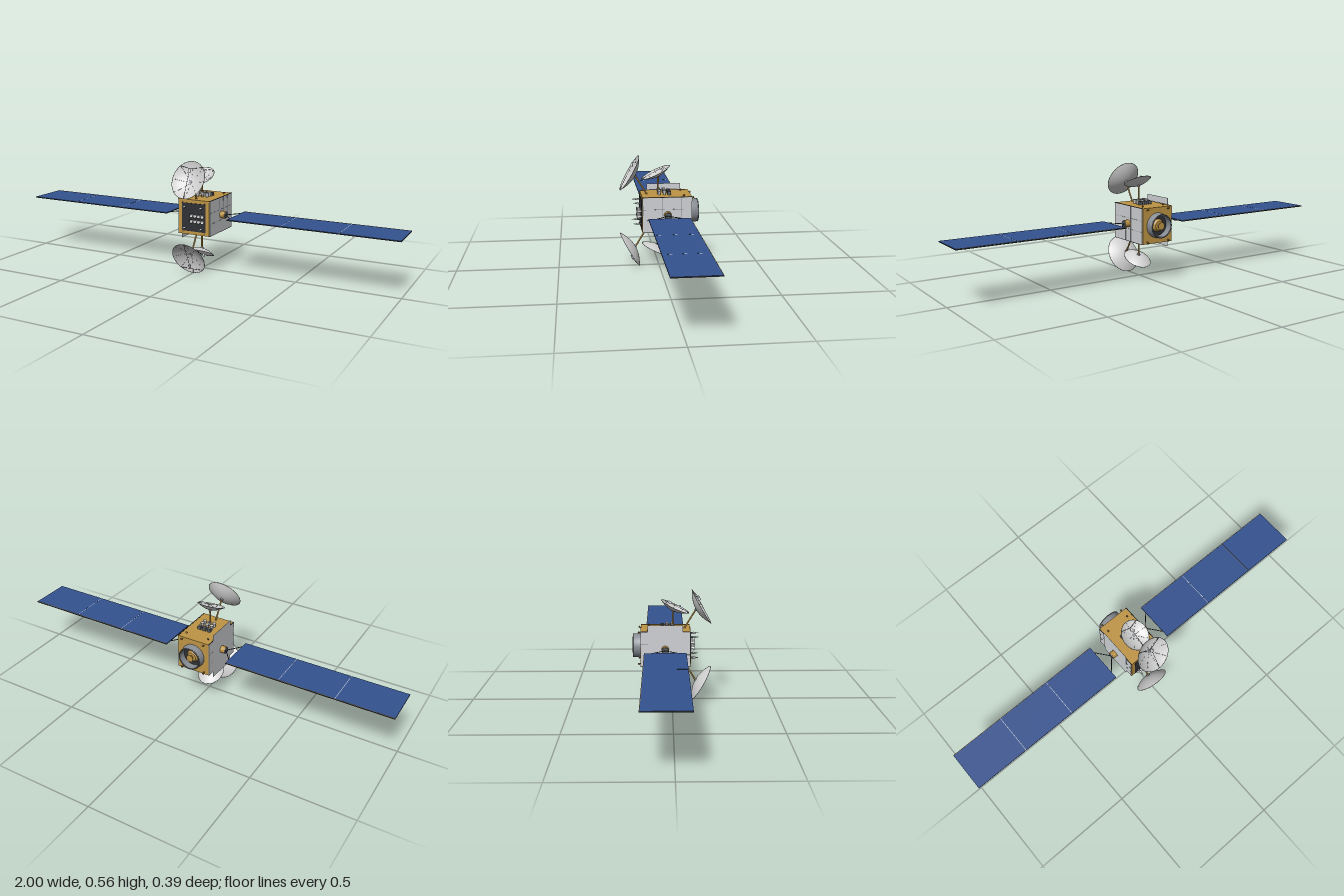
import * as THREE from 'three';

const CY = 0.2785; // height of the body centre line

function paint(name, color, side = THREE.FrontSide) {
  const m = new THREE.MeshStandardMaterial({ color, side });
  m.name = name;
  return m;
}

export function createModel() {
  const gold = paint('gold foil', 0xbe9444);
  const brown = paint('bronze', 0x86642e);
  const blue = paint('solar blue', 0x34528f);
  const light = paint('light grey', 0xd0d3d6);
  const shell = paint('dish grey', 0xd0d0d0, THREE.DoubleSide);
  const steel = paint('steel grey', 0x888d94, THREE.DoubleSide);
  const slate = paint('slate grey', 0x5c6066);
  const dark = paint('dark grey', 0x2e3035);
  const seam = paint('seam grey', 0x85888b);

  const root = new THREE.Group();
  root.name = 'satellite';

  const add = (parent, name, geo, mat, x = 0, y = 0, z = 0) => {
    const m = new THREE.Mesh(geo, mat);
    m.name = name;
    m.position.set(x, y, z);
    parent.add(m);
    return m;
  };
  const box = (parent, name, mat, w, h, d, x, y, z) =>
    add(parent, name, new THREE.BoxGeometry(w, h, d), mat, x, y, z);
  const V = (x, y, z) => new THREE.Vector3(x, y, z);
  const up = V(0, 1, 0);
  // Round bar or cone from a (radius r0) to b (radius r1)
  const bar = (parent, name, mat, a, b, r0, r1 = r0, open = false, sides = 12) => {
    const d = b.clone().sub(a);
    const m = add(parent, name, new THREE.CylinderGeometry(r1, r0, d.length(), sides, 1, open), mat);
    m.position.copy(a).add(b).multiplyScalar(0.5);
    m.quaternion.setFromUnitVectors(up, d.normalize());
    return m;
  };

  // Body
  box(root, 'body', gold, 0.168, 0.174, 0.243, 0, CY, -0.0325);
  box(root, 'frontPanel', dark, 0.13, 0.14, 0.004, 0, CY, 0.09);
  for (const sx of [-1, 1]) {
    box(root, 'sidePanel', light, 0.004, 0.172, 0.24, sx * 0.085, CY, -0.0325);
    for (const z of [0.04, -0.01, -0.055, -0.1])
      box(root, 'sideSeam', seam, 0.001, 0.172, 0.0012, sx * 0.0873, CY, z);
    for (const y of [0.027, -0.027])
      box(root, 'sideSeam', seam, 0.001, 0.0012, 0.24, sx * 0.0873, CY + y, -0.0325);
    for (const sy of [-1, 1])
      box(root, 'edgeRail', dark, 0.004, 0.002, 0.243, sx * 0.085, CY + sy * 0.087, -0.0325);
  }
  // Oversized radiator on one side
  box(root, 'radiator', light, 0.001, 0.239, 0.17, -0.0882, CY, -0.033);

  // Rear adapter ring and main engine
  const ring = add(root, 'adapterRing', new THREE.LatheGeometry([
    new THREE.Vector2(0.061, 0), new THREE.Vector2(0.057, 0.036),
    new THREE.Vector2(0.05, 0.036), new THREE.Vector2(0.051, 0),
  ], 40), steel, 0, CY, -0.154);
  ring.rotation.x = -Math.PI / 2;
  add(root, 'ringLip', new THREE.TorusGeometry(0.0565, 0.002, 8, 40), slate, 0, CY, -0.191);
  bar(root, 'engineFloor', dark, V(0, CY, -0.153), V(0, CY, -0.157), 0.05, 0.05, false, 32);
  bar(root, 'engineMount', gold, V(0, CY, -0.156), V(0, CY, -0.17), 0.032, 0.022, false, 24);
  bar(root, 'engineNozzle', gold, V(0, CY, -0.168), V(0, CY, -0.188), 0.008, 0.018, false, 24);

  // Front horns and pointed antennas
  for (const dy of [0.0135, -0.0135])
    for (const x of [-0.003, 0.017, 0.037, 0.057])
      bar(root, 'frontHorn', shell, V(x, CY + dy, 0.091), V(x, CY + dy, 0.113), 0.004, 0.0095, true, 16);
  for (const sx of [-1, 1]) for (const dy of [0.052, -0.052]) {
    const x = sx * 0.045, y = CY + dy;
    bar(root, 'antennaBase', steel, V(x, y, 0.09), V(x, y, 0.105), 0.004);
    bar(root, 'antennaBody', light, V(x, y, 0.105), V(x, y, 0.119), 0.006, 0.003);
    bar(root, 'antennaTip', light, V(x, y, 0.119), V(x, y, 0.132), 0.003, 0.0006);
  }

  // Fittings repeated above and below
  for (const s of [1, -1]) {
    const Y = h => CY + s * h;
    for (const x of [-0.026, 0, 0.026]) {
      for (const z of [0, -0.025])
        bar(root, 'deckHorn', shell, V(x, Y(0.086), z), V(x, Y(0.109), z), 0.005, 0.01, true, 16);
      box(root, 'deckUnit', slate, 0.017, 0.018, 0.016, x, Y(0.095), -0.048);
    }
    for (const sx of [-1, 1]) {
      const x = sx * 0.06;
      bar(root, 'rearThruster', brown, V(x, Y(0.075), -0.152), V(x, Y(0.081), -0.166), 0.002, 0.0055);
      bar(root, 'deckThruster', brown, V(x, Y(0.085), -0.113), V(x, Y(0.094), -0.119), 0.002, 0.005);
      bar(root, 'frontThruster', brown, V(x, Y(0.075), 0.088), V(x, Y(0.075), 0.093), 0.002, 0.004);
    }
  }

  // Dish with ribs, rim, feed horn and struts; local +y is the open side
  const makeDish = (name, r, depth, xScale) => {
    const g = new THREE.Group();
    g.name = name;
    const curve = t => depth * (t * t - 1);
    const pts = [];
    for (let i = 0; i <= 10; i++) pts.push(new THREE.Vector2(r * i / 10, curve(i / 10)));
    add(g, 'reflector', new THREE.LatheGeometry(pts, 48), shell).scale.x = xScale;
    const rim = add(g, 'rim', new THREE.TorusGeometry(r, 0.0008, 6, 48), steel);
    rim.rotation.x = Math.PI / 2;
    rim.scale.x = xScale;
    for (let k = 0; k < 8; k++) {
      const a = k * Math.PI / 4;
      const path = [0, 0.25, 0.5, 0.75, 1].map(t =>
        V(Math.sin(a) * r * t * xScale, curve(t) + 0.0005, Math.cos(a) * r * t));
      add(g, 'rib', new THREE.TubeGeometry(new THREE.CatmullRomCurve3(path), 12, 0.0004, 4), seam);
    }
    const tip = V(0, 0.13 * r, -0.56 * r);
    const mouth = V(0, 0.08 * r, -0.34 * r);
    bar(g, 'feedHorn', light, tip, mouth, 0.004, 0.0075, false, 16);
    for (const [a, end] of [[0, mouth], [2.35, tip], [-2.35, tip]])
      bar(g, 'strut', dark, V(Math.sin(a) * r * xScale, 0, Math.cos(a) * r), end, 0.0009, 0.0009, false, 6);
    bar(g, 'hub', steel, V(0, -depth - 0.005, 0), V(0, -depth + 0.001, 0), 0.006, 0.009);
    return g;
  };
  // r, depth, x scale, tilt, centre height and z, boom foot height and z
  const dishes = [
    ['mainDish', 0.096, 0.031, 0.89, Math.PI / 3, 0.1945, 0.145, 0.086, 0.06],
    ['smallDish', 0.0755, 0.024, 0.85, 0.437, 0.1955, 0.0155, 0.086, 0.005],
  ];
  for (const s of [1, -1]) for (const [name, r, depth, xs, tilt, h, z, fh, fz] of dishes) {
    const d = makeDish(name, r, depth, xs);
    d.position.set(0, CY + s * h, z);
    d.rotation.set(s > 0 ? tilt : Math.PI - tilt, s > 0 ? 0 : Math.PI, 0);
    root.add(d);
    const back = V(0, CY + s * (h - Math.cos(tilt) * (depth + 0.003)), z - Math.sin(tilt) * (depth + 0.003));
    bar(root, 'dishBoom', gold, V(0, CY + s * fh, fz), back, 0.004);
  }

  // Solar wings
  const ZC = -0.034;
  const wingMats = [dark, dark, blue, steel, dark, dark];
  for (const s of [-1, 1]) {
    const wing = new THREE.Group();
    wing.name = s > 0 ? 'leftWing' : 'rightWing';
    root.add(wing);
    bar(wing, 'wingDrive', gold, V(s * 0.084, CY, ZC), V(s * 0.112, CY, ZC), 0.018, 0.018, false, 24);
    bar(wing, 'driveCap', slate, V(s * 0.112, CY, ZC), V(s * 0.116, CY, ZC), 0.0165, 0.015, false, 24);
    for (const sz of [-1, 1])
      bar(wing, 'yokeArm', dark, V(s * 0.113, CY, ZC), V(s * 0.167, CY, ZC + sz * 0.068), 0.002);
    for (let i = 0; i < 3; i++) {
      const x = s * (0.165 + 0.2783 * (i + 0.5));
      box(wing, 'solarPanel', wingMats, 0.276, 0.005, 0.203, x, CY, ZC);
      box(wing, 'panelEdge', gold, 0.276, 0.0006, 0.002, x, CY + 0.0027, ZC - 0.1);
      // Thin strip closing the joint between two panels
      if (i > 0)
        box(wing, 'panelJoint', light, 0.0024, 0.0045, 0.2, s * (0.165 + 0.2783 * i), CY, ZC);
    }
  }
  return root;
}
